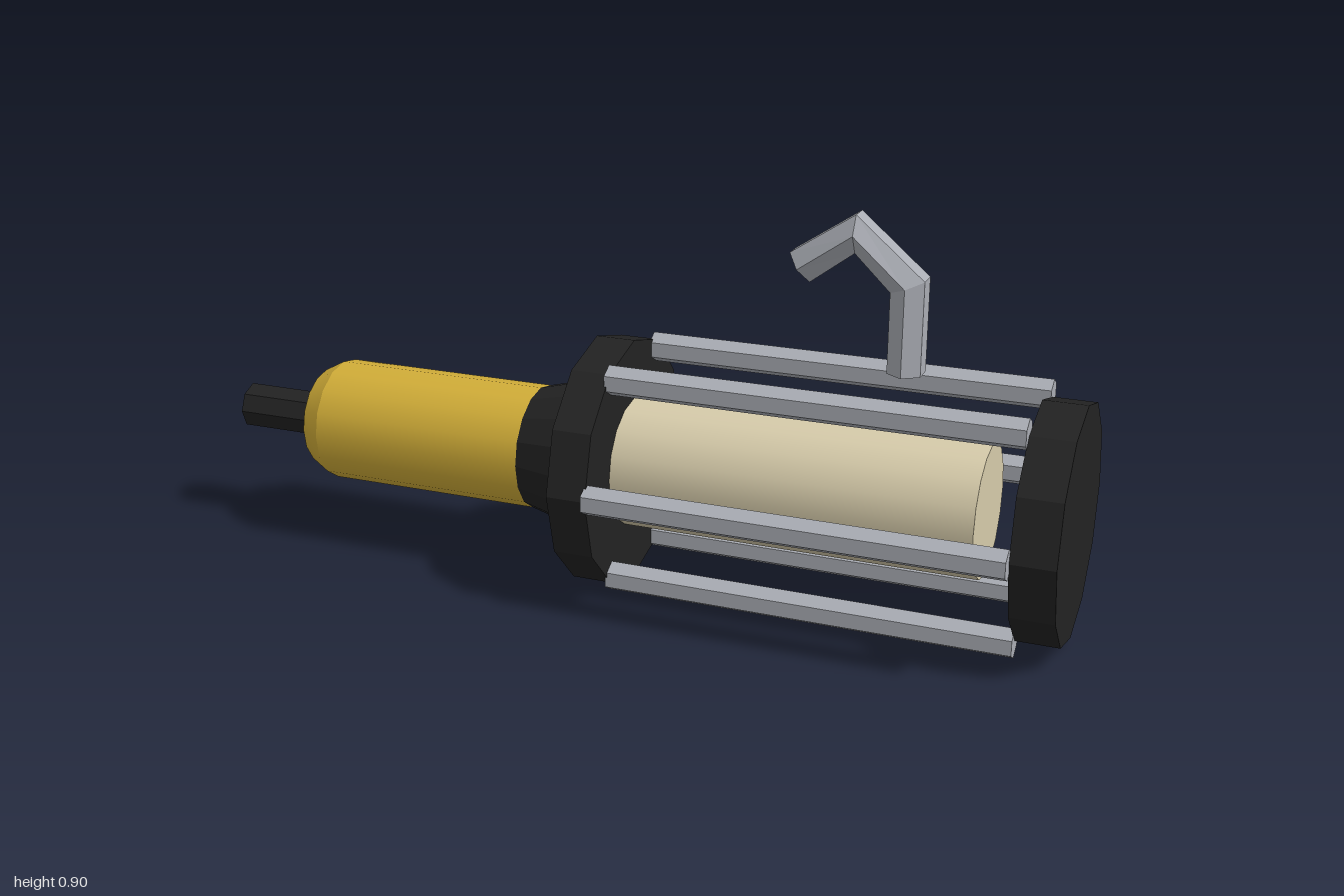
import * as THREE from 'three';

const AXIS_Y = 0.284;

function material(name, color, flatShading = false) {
  const m = new THREE.MeshStandardMaterial({ color, flatShading });
  m.name = name;
  return m;
}

// Cylinder or cone lying along x from x0 (radius r0) to x1 (radius r1)
function barrel(name, x0, x1, r0, r1, sides, mat, turn = 0) {
  const geo = new THREE.CylinderGeometry(r1, r0, x1 - x0, sides, 1, false, turn);
  geo.rotateZ(-Math.PI / 2);
  const mesh = new THREE.Mesh(geo, mat);
  mesh.name = name;
  mesh.position.set((x0 + x1) / 2, AXIS_Y, 0);
  return mesh;
}

// Hexagonal bar swept through outer/inner point pairs in the xy plane
function hookGeometry(stations, halfDepth) {
  const rings = stations.map(([ox, oy, ix, iy]) => {
    const ring = [];
    for (let k = 0; k < 6; k++) {
      const a = (k * Math.PI) / 3;
      const s = Math.sin(a) / Math.sin(Math.PI / 3) / 2;
      ring.push([(ox + ix) / 2 + (ox - ix) * s, (oy + iy) / 2 + (oy - iy) * s, halfDepth * Math.cos(a)]);
    }
    return ring;
  });
  const pos = [];
  const tri = (a, b, c) => pos.push(...a, ...b, ...c);
  for (let i = 0; i < rings.length - 1; i++) {
    for (let k = 0; k < 6; k++) {
      const n = (k + 1) % 6;
      const a = rings[i][k], b = rings[i][n], c = rings[i + 1][n], d = rings[i + 1][k];
      tri(a, c, b);
      tri(a, d, c);
    }
  }
  const first = rings[0], last = rings[rings.length - 1];
  for (let k = 1; k < 5; k++) {
    tri(first[0], first[k], first[k + 1]);
    tri(last[0], last[k + 1], last[k]);
  }
  const geo = new THREE.BufferGeometry();
  geo.setAttribute('position', new THREE.Float32BufferAttribute(pos, 3));
  geo.computeVertexNormals();
  return geo;
}

export function createModel() {
  const model = new THREE.Group();
  model.name = 'inspectionLamp';

  const black = material('black rubber', 0x222222, true);
  const yellow = material('yellow handle', 0xd1ad38);
  const cream = material('cream tube', 0xd6cbaa);
  const steel = material('grey steel', 0xaaadb4, true);
  steel.side = THREE.DoubleSide;

  // Cable and handle, with a bevelled back end closed by a dark face
  model.add(barrel('cable', -1, -0.78, 0.055, 0.055, 8, black));
  model.add(barrel('handleBevel', -0.79, -0.74, 0.115, 0.142, 16, [yellow, yellow, black]));
  model.add(barrel('handle', -0.74, -0.225, 0.142, 0.142, 16, yellow));

  // Neck, collar and end cap
  model.add(barrel('neck', -0.225, -0.085, 0.142, 0.178, 16, black));
  model.add(barrel('collar', -0.085, 0.005, 0.282, 0.282, 12, black));
  model.add(barrel('endCap', 0.905, 1, 0.26, 0.26, 12, black));

  // Light tube
  model.add(barrel('lightTube', 0, 0.81, 0.147, 0.147, 16, cream));

  // Guard cage of six hexagonal rods
  const cage = new THREE.Group();
  cage.name = 'guardCage';
  for (let i = 0; i < 6; i++) {
    const a = (i * Math.PI) / 3;
    const rod = barrel('guardRod', 0, 0.906, 0.034, 0.034, 6, steel, Math.PI / 6);
    rod.position.y += 0.265 * Math.sin(a);
    rod.position.z = 0.265 * Math.cos(a);
    cage.add(rod);
  }
  model.add(cage);

  // Hanging hook above the cage
  const hook = new THREE.Mesh(hookGeometry([
    [0.655, 0.567, 0.583, 0.567],
    [0.655, 0.772, 0.583, 0.742],
    [0.505, 0.9, 0.505, 0.818],
    [0.365, 0.807, 0.41, 0.747],
  ], 0.047), steel);
  hook.name = 'hook';
  model.add(hook);

  return model;
}
